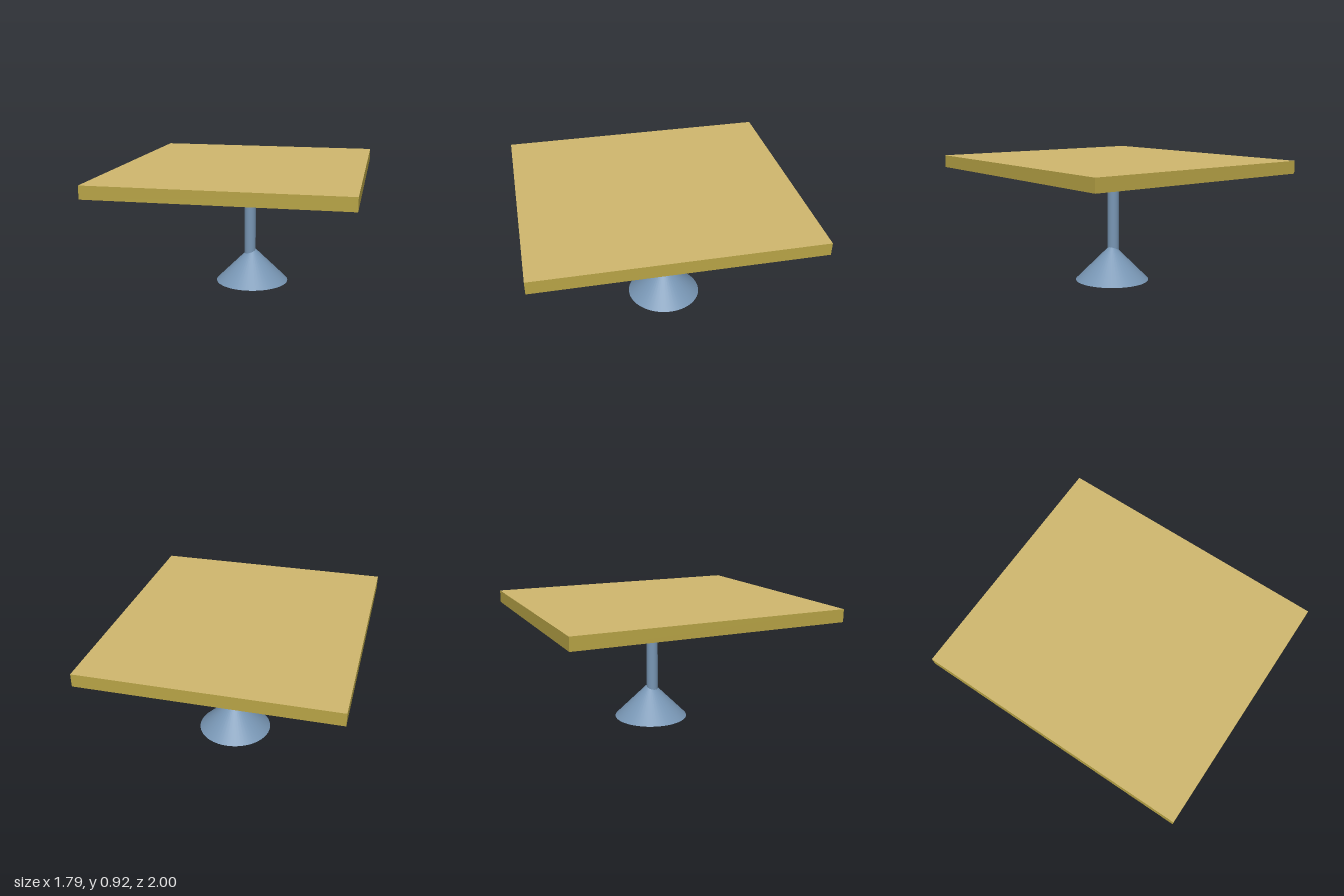
import * as THREE from 'three';

export function createModel() {
  const surface = new THREE.MeshStandardMaterial({ name: 'tan surface', color: 0xd0b86e });
  const edge = new THREE.MeshStandardMaterial({ name: 'ochre edge', color: 0xb8a446 });
  const steel = new THREE.MeshStandardMaterial({ name: 'blue steel', color: 0x7896b4 });

  const table = new THREE.Group();
  table.name = 'pedestalTable';

  const add = (name, geometry, material, x, y, z) => {
    const mesh = new THREE.Mesh(geometry, material);
    mesh.name = name;
    mesh.position.set(x, y, z);
    table.add(mesh);
  };

  // Slab: ochre rim on the four sides, tan faces above and below
  const topY = 0.92, slab = 0.093, under = topY - slab;
  add('tableTop', new THREE.BoxGeometry(1.786, slab, 2),
    [edge, edge, surface, surface, edge, edge], 0, topY - slab / 2, 0);

  // Slim column, standing slightly off the axis of the foot
  const columnFoot = 0.1;
  add('column', new THREE.CylinderGeometry(0.043, 0.043, under - columnFoot, 40),
    steel, 0.03, (under + columnFoot) / 2, -0.052);

  // Conical foot, closed underneath
  const footHeight = 0.277;
  add('foot', new THREE.ConeGeometry(0.277, footHeight, 48),
    steel, 0.045, footHeight / 2, -0.058);

  return table;
}
